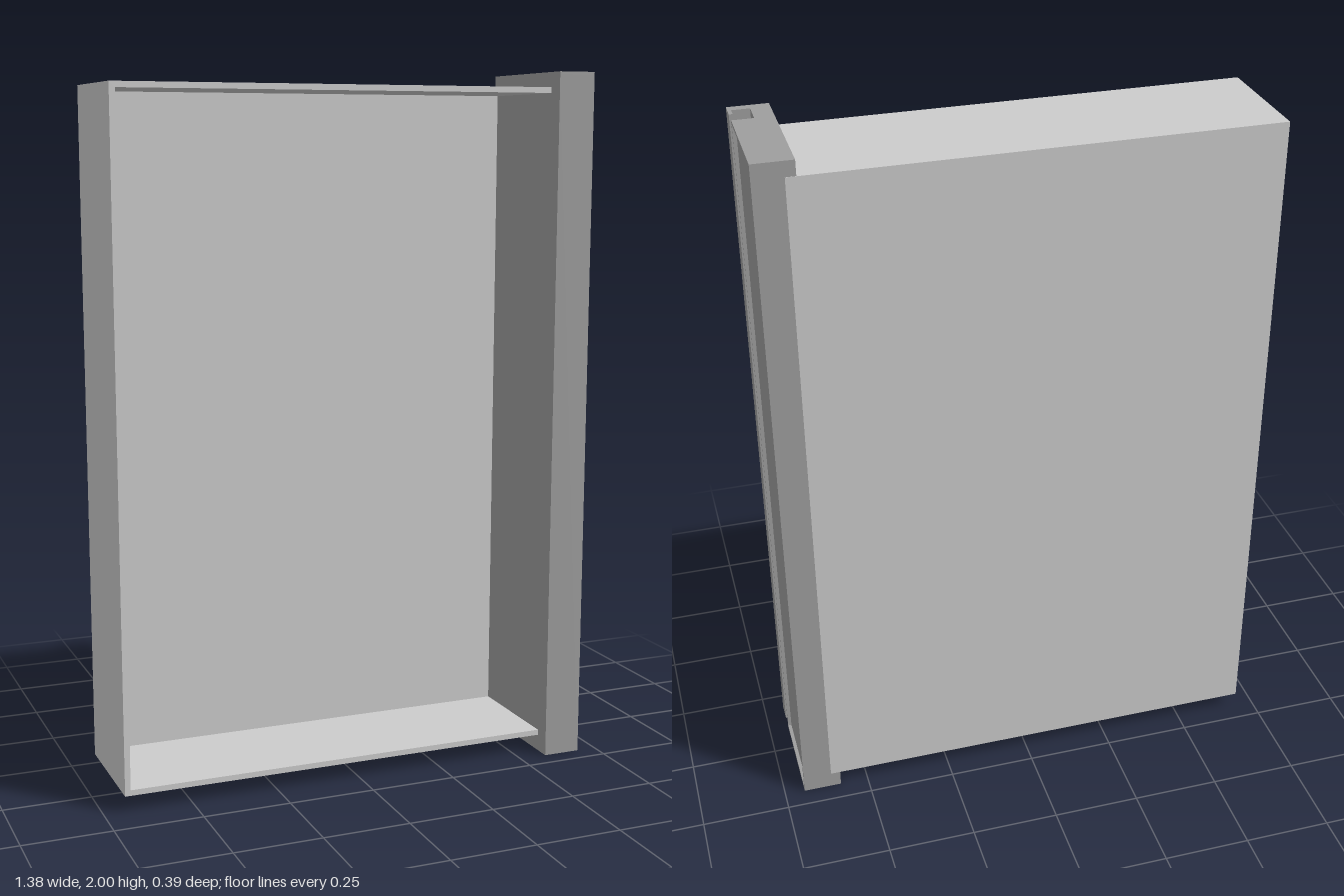
import * as THREE from 'three';

const trayMaterial = new THREE.MeshStandardMaterial({ color: 0xcccccc });
const railMaterial = new THREE.MeshStandardMaterial({ color: 0x9e9e9e });

function addMesh(parent, name, geometry, material) {
  const mesh = new THREE.Mesh(geometry, material);
  mesh.name = name;
  parent.add(mesh);
  return mesh;
}

const polygon = (points) => points.map(([x, y]) => new THREE.Vector2(x, y));
const rectangle = (x0, y0, x1, y1) => polygon([[x0, y0], [x1, y0], [x1, y1], [x0, y1]]);

// Stands an [x, z] profile upright between two heights
function upright(profile, y0, y1) {
  const shape = new THREE.Shape(polygon(profile.map(([x, z]) => [x, -z])));
  const geometry = new THREE.ExtrudeGeometry(shape, { depth: y1 - y0, bevelEnabled: false });
  return geometry.rotateX(-Math.PI / 2).translate(0, y0, 0);
}

// Shallow tray, open to the front
function createTray() {
  const tray = new THREE.Group();
  tray.name = 'tray';
  const left = -0.692, right = 0.61, bottom = 0.048, top = 1.958;
  const back = -0.196, front = 0.148, wall = 0.016;

  const rim = new THREE.Shape(rectangle(left, bottom, right, top));
  rim.holes.push(new THREE.Path(rectangle(left + wall, bottom + wall, right - wall, top - wall)));
  const walls = new THREE.ExtrudeGeometry(rim, { depth: front - back - wall, bevelEnabled: false });
  addMesh(tray, 'trayWalls', walls.translate(0, 0, back + wall), trayMaterial);

  const panel = new THREE.BoxGeometry(right - left, top - bottom, wall);
  addMesh(tray, 'trayBack', panel, trayMaterial)
    .position.set((left + right) / 2, (bottom + top) / 2, back + wall / 2);
  return tray;
}

// Upright side rail with a hooked groove and a recessed outer face
function createRail() {
  const rail = new THREE.Group();
  rail.name = 'sideRail';
  const inner = 0.582, outer = 0.692, back = -0.195, front = 0.195;
  const grooveBack = 0.1, frame = 0.009, depth = 0.01;

  const hook = [
    [outer, grooveBack], [0.634, grooveBack], [0.634, 0.17], [0.682, 0.17],
    [0.682, 0.142], [outer, 0.142], [outer, front], [inner, front], [inner, back],
  ];
  const recess = [
    [outer, back], [outer, back + frame], [outer - depth, back + frame],
    [outer - depth, grooveBack - 0.005], [outer, grooveBack - 0.005],
  ];
  addMesh(rail, 'railBody', upright([...hook, ...recess], frame, 2 - frame), railMaterial);

  // Full-profile ends close the recess above and below
  for (const [name, y] of [['railBottomEnd', 0], ['railTopEnd', 2 - frame]]) {
    addMesh(rail, name, upright([...hook, [outer, back]], y, y + frame), railMaterial);
  }
  return rail;
}

export function createModel() {
  const model = new THREE.Group();
  model.name = 'trayWithSideRail';
  model.add(createTray(), createRail());
  return model;
}
